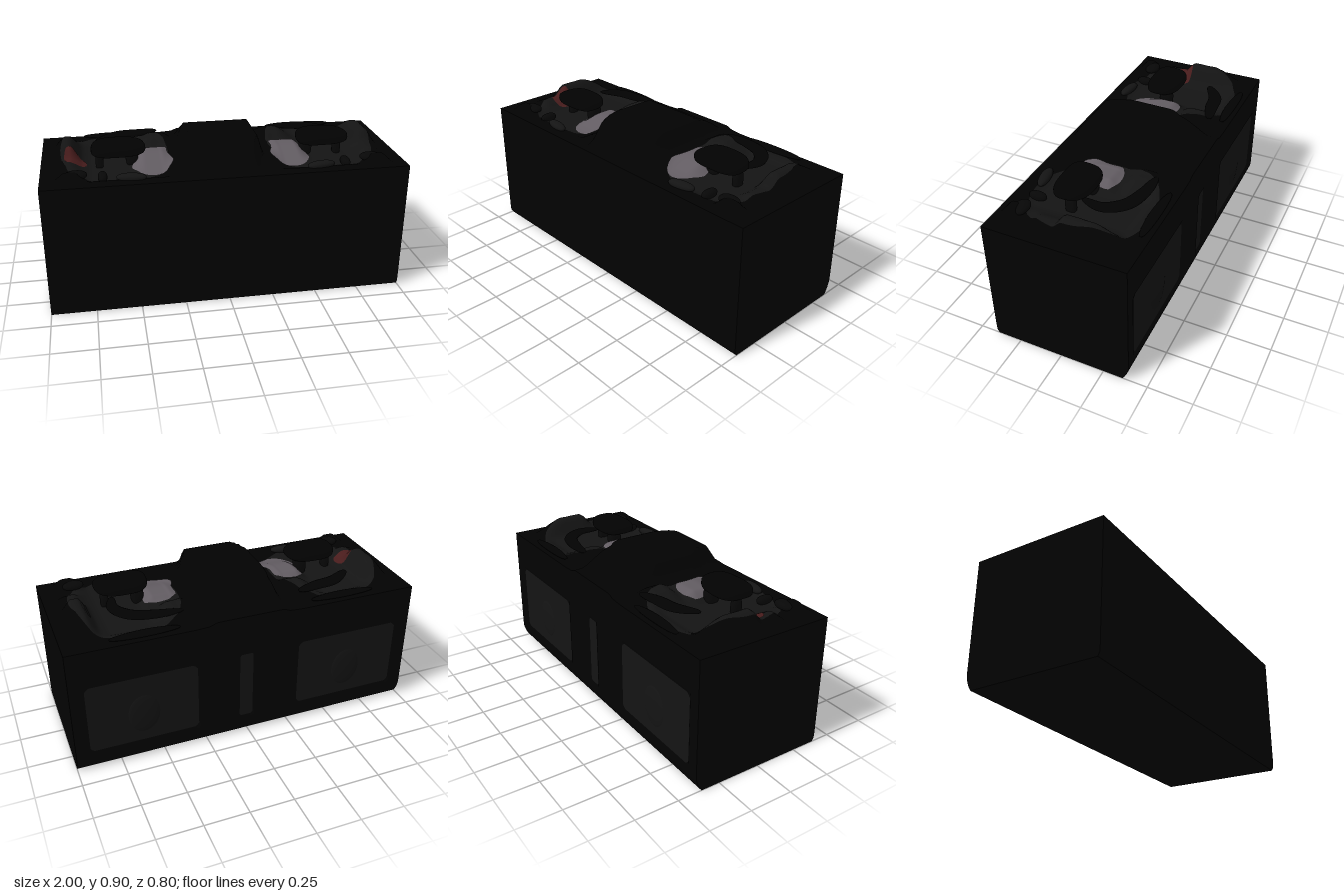
import * as THREE from 'three';

const material = (color) => new THREE.MeshStandardMaterial({ color });
const BLACK = material(0x020202), DARK = material(0x070707), GREY = material(0x141414);
const PALE = material(0x625c62), RED = material(0x481c1c);
const { smoothstep, lerp } = THREE.MathUtils;

// 1 inside a soft-edged interval, 0 outside
const band = (v, a, b, e, f = e) => smoothstep(v, a, a + e) * (1 - smoothstep(v, b - f, b));

// Side profile of the central hump: z, y
const HUMP = [[-0.4, 0.77], [-0.34, 0.772], [-0.31, 0.79], [-0.27, 0.82], [-0.22, 0.85], [-0.16, 0.872],
  [-0.14, 0.89], [-0.11, 0.898], [0.2, 0.9], [0.25, 0.896], [0.28, 0.885], [0.3, 0.862], [0.325, 0.825],
  [0.35, 0.788], [0.38, 0.768], [0.4, 0.75]];
function humpHeight(z) {
  for (let i = 1; i < HUMP.length; i++) {
    const [z0, y0] = HUMP[i - 1], [z1, y1] = HUMP[i];
    if (z <= z1) return lerp(y0, y1, (z - z0) / (z1 - z0));
  }
  return 0.75;
}

// Relief of the upper deck: hump, end ridges, seats and shallow trays
function deckHeight(x, z) {
  const a = Math.abs(x);
  const edge = 0.185 - 0.05 * smoothstep(z, 0.12, 0.32);
  const hump = (humpHeight(z) - 0.75) * (0.7 * (1 - smoothstep(a, edge, edge + 0.05)) + 0.3 * (1 - smoothstep(a, 0.19, 0.32)));
  const ends = band(a, 0.77, 0.95, 0.07, 0.08);
  const ridge = ends * (0.06 * band(z, -0.36, 0.07, 0.24, 0.07) + 0.028 * band(z, -0.36, 0.21, 0.2, 0.05));
  const shoulder = 0.05 * band(a, 0.74, 0.94, 0.08) * band(z, 0.24, 0.385, 0.06);
  const seat = 0.075 * band(a, 0.23, 0.52, 0.1, 0.15) * band(z, -0.36, -0.02, 0.14);
  const pale = 0.055 * band(a, 0.25, 0.52, 0.09) * band(z, -0.1, 0.26, 0.08, 0.22);
  const tray = -0.02 * band(a, 0.27, 0.8, 0.08) * band(z, -0.3, 0.33, 0.06);
  return 0.75 + hump + ridge + shoulder + seat + pale + tray;
}

// Sphere squared off into a rounded pad
function pad(name, mat, c, r, power = 0.7, tilt = 0, wobble = 0) {
  const g = new THREE.SphereGeometry(1, 32, 20), p = g.attributes.position;
  const sq = (v) => Math.sign(v) * Math.abs(v) ** power;
  for (let i = 0; i < p.count; i++) {
    const x = p.getX(i), y = p.getY(i), z = p.getZ(i);
    const k = 1 + wobble * Math.sin(3 * Math.atan2(z, x) + 0.6) * Math.hypot(x, z);
    p.setXYZ(i, sq(x) * r[0] * k, sq(y) * r[1], sq(z) * r[2] * k);
  }
  g.computeVertexNormals();
  const m = new THREE.Mesh(g, mat);
  m.name = name;
  m.position.set(...c);
  m.rotation.y = tilt;
  return m;
}

// Rounded thin cover following the deck relief
function cover(name, mat, x0, z0, w, d, lift, wobble = 0) {
  const g = new THREE.PlaneGeometry(2, 2, 40, 40).rotateX(-Math.PI / 2), p = g.attributes.position;
  for (let i = 0; i < p.count; i++) {
    const u = p.getX(i), v = p.getZ(i);
    const x = x0 + w * u * Math.sqrt(1 - v * v * 0.4) * (1 + wobble * Math.sin(4 * v));
    const z = z0 + d * v * Math.sqrt(1 - u * u * 0.4);
    p.setXYZ(i, x, deckHeight(x, z) + lift, z);
  }
  g.computeVertexNormals();
  const m = new THREE.Mesh(g, mat);
  m.name = name;
  return m;
}

// Flattened, curved rail
function rail(name, mat, points, y, radius) {
  const curve = new THREE.CatmullRomCurve3(points.map(([x, z]) => new THREE.Vector3(x, 0, z)));
  const g = new THREE.TubeGeometry(curve, 32, radius, 12), p = g.attributes.position;
  for (let i = 0; i < p.count; i++) {
    const t = Math.floor(i / 13) / 32;
    const c = curve.getPointAt(t);
    const k = 0.15 + 0.85 * Math.sqrt(Math.sin(Math.PI * t) + 1e-6);
    p.setXYZ(i, c.x + (p.getX(i) - c.x) * k, y + p.getY(i) * k * 0.5, c.z + (p.getZ(i) - c.z) * k);
  }
  g.computeVertexNormals();
  const m = new THREE.Mesh(g, mat);
  m.name = name;
  return m;
}

// Rounded panel lying in a recess of the back face
function backPanel(name, x, y, w, h, r) {
  const s = new THREE.Shape(), a = w / 2, b = h / 2;
  s.moveTo(-a + r, -b).lineTo(a - r, -b).quadraticCurveTo(a, -b, a, -b + r);
  s.lineTo(a, b - r).quadraticCurveTo(a, b, a - r, b).lineTo(-a + r, b);
  s.quadraticCurveTo(-a, b, -a, b - r).lineTo(-a, -b + r).quadraticCurveTo(-a, -b, -a + r, -b);
  const m = new THREE.Mesh(new THREE.ShapeGeometry(s, 8), GREY);
  m.name = name;
  m.rotation.y = Math.PI;
  m.position.set(x, y, -0.386);
  return m;
}

export function createModel() {
  const group = new THREE.Group();

  // Main block: relief on top, rounded lower edges, recesses in the back
  const g = new THREE.BoxGeometry(2, 0.75, 0.8, 140, 36, 60).translate(0, 0.375, 0);
  const p = g.attributes.position;
  for (let i = 0; i < p.count; i++) {
    const x = p.getX(i), y = p.getY(i), z = p.getZ(i), a = Math.abs(x);
    const low = Math.max(0, 1 - y / 0.1);
    const inset = z < 0 ? 0.005 + 0.035 * low * low : 0.012 * low ** 8;
    const recess = z > -0.399 ? 0 : 0.012 * band(y, 0.09, 0.55, 0.03)
      * Math.max(band(a, 0.28, 0.94, 0.03), band(x, -0.04, 0.07, 0.02));
    p.setXYZ(i, x, y > 0.749 ? deckHeight(x, z) : y, z * (1 - inset / 0.4) + recess);
  }
  g.computeVertexNormals();
  const body = new THREE.Mesh(g, BLACK);
  body.name = 'body';
  group.add(body);

  for (const s of [-1, 1]) {
    const half = new THREE.Group();
    half.name = s > 0 ? 'leftHalf' : 'rightHalf';
    half.add(
      cover('trayCover', GREY, s * 0.59, -0.01, 0.3, 0.33, 0.003),
      cover('palePad', PALE, s * 0.39, 0.09, 0.105, 0.165, 0.006, 0.12),
      // Floating cushion on small posts
      pad('cushion', BLACK, [s * 0.578, 0.843, 0.08], [0.148, 0.042, 0.1], 0.7, 0, 0.04),
      pad('cushionPost', DARK, [s * 0.68, 0.765, 0.07], [0.022, 0.055, 0.03]),
      pad('cushionPost', DARK, [s * 0.5, 0.775, 0.05], [0.035, 0.055, 0.04]),
      // Curled rail behind the cushion
      rail('curledRail', BLACK, s > 0
        ? [[0.33, -0.25], [0.48, -0.24], [0.6, -0.2], [0.67, -0.1], [0.65, 0.02]]
        : [[-0.33, -0.29], [-0.45, -0.26], [-0.57, -0.24], [-0.69, -0.16]], 0.8, 0.04),
      rail('backRail', BLACK, [[s * 0.38, -0.35], [s * 0.55, -0.345], [s * 0.76, -0.35]], 0.765, 0.03),
      // Small front lumps
      pad('frontLump', DARK, [s * 0.81, 0.775, 0.28], [0.06, 0.022, 0.04], 0.9),
      pad('frontLump', GREY, [s * 0.52, 0.758, 0.315], [0.08, 0.022, 0.03], 0.9, s * 0.15),
      pad('frontLump', DARK, [s * 0.67, 0.752, 0.27], [0.025, 0.025, 0.05], 0.9),
      // Back face panel
      backPanel('backPanel', s * 0.61, 0.32, 0.65, 0.44, 0.1),
      pad('backBulge', GREY, [s * 0.61, 0.29, -0.384], [0.09, 0.12, 0.01], 1),
    );
    group.add(half);
  }

  group.add(backPanel('backStrip', 0.015, 0.32, 0.09, 0.43, 0.045));
  group.add(cover('redPatch', RED, -0.81, 0.06, 0.06, 0.055, 0.006));
  return group;
}
